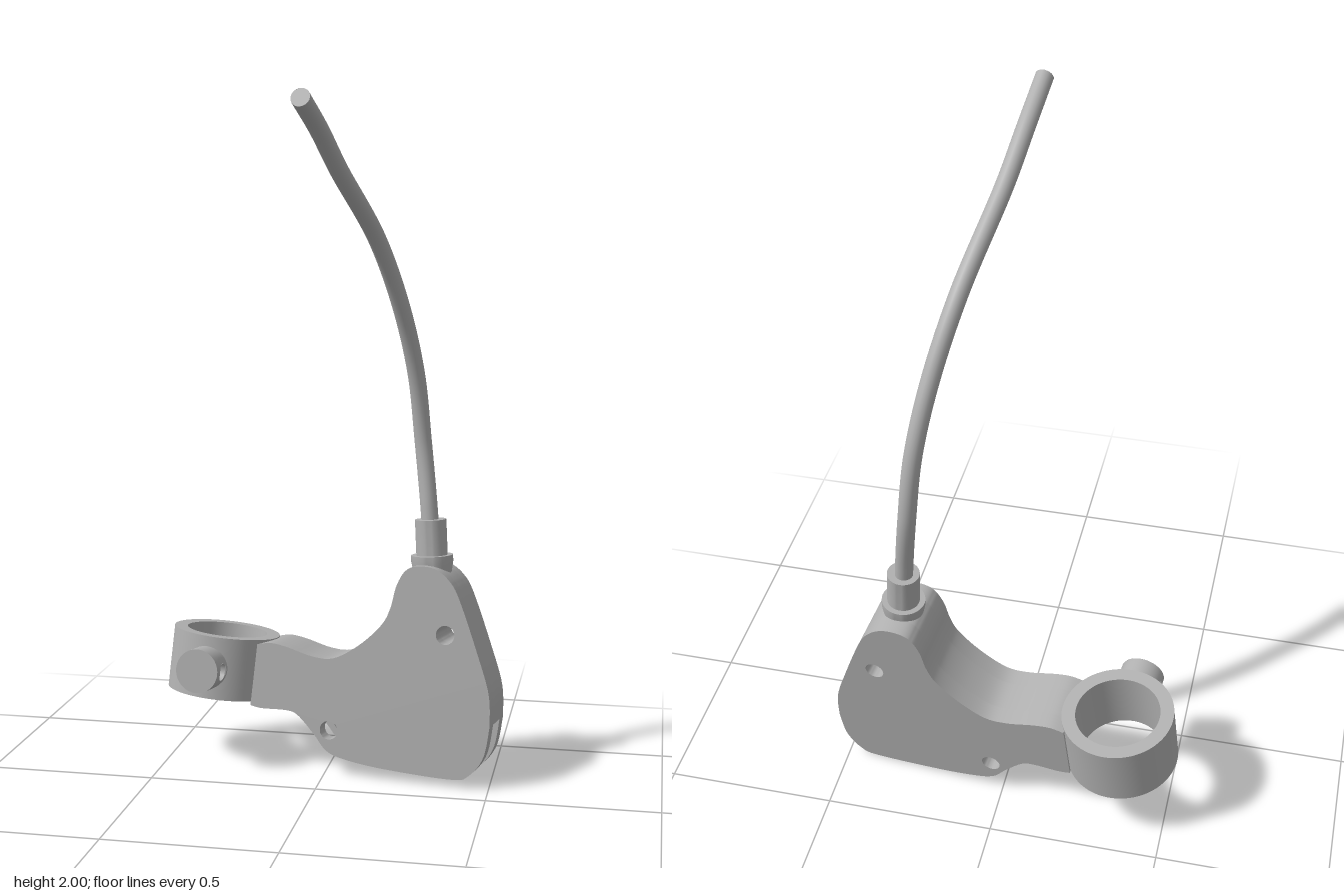
import * as THREE from 'three';
import { toCreasedNormals } from 'three/addons/utils/BufferGeometryUtils.js';
import { ParametricGeometry } from 'three/addons/geometries/ParametricGeometry.js';

const metal = new THREE.MeshStandardMaterial({ color: 0xb0b0b0, side: THREE.DoubleSide });
metal.name = 'grey metal';

const V2 = ([x, y]) => new THREE.Vector2(x, y);

function add(parent, name, geometry, crease = 0.6) {
  const mesh = new THREE.Mesh(crease ? toCreasedNormals(geometry, crease) : geometry, metal);
  mesh.name = name;
  parent.add(mesh);
  return mesh;
}

// Upper edge of the housing, from the neck over the hump and down the right side
const upperEdge = [
  [-0.215, 0.045], [-0.173, 0.056], [-0.119, 0.052], [-0.038, 0.037], [0.031, 0.043],
  [0.106, 0.097], [0.165, 0.166], [0.186, 0.221], [0.196, 0.287], [0.218, 0.336],
  [0.254, 0.355], [0.307, 0.354], [0.353, 0.326], [0.39, 0.275], [0.462, 0.126],
  [0.51, 0.012], [0.524, -0.083],
].map(V2);
// Lower edge, back to the neck
const lowerEdge = [
  [0.524, -0.083], [0.516, -0.175], [0.479, -0.236], [0.427, -0.256], [0.23, -0.262],
  [0.106, -0.256], [0.041, -0.24], [-0.006, -0.195], [-0.063, -0.147],
  [-0.102, -0.139], [-0.178, -0.146], [-0.215, -0.143],
].map(V2);
// Lower edge of the core, which leaves the lever slot open
const slotRoof = [[0.524, -0.083], [-0.04, -0.105], [-0.063, -0.147], [-0.102, -0.139], [-0.178, -0.146], [-0.215, -0.143]].map(V2);

const smooth = (pts) => new THREE.SplineCurve(pts).getPoints(pts.length * 5);

function slab(bottom, holes, z0, depth) {
  const shape = new THREE.Shape([...smooth(upperEdge), ...bottom.slice(1)]);
  for (const [x, y] of holes) {
    shape.holes.push(new THREE.Path().absarc(x, y, 0.028, 0, Math.PI * 2, true));
  }
  return new THREE.ExtrudeGeometry(shape, { depth, bevelEnabled: false, curveSegments: 16 }).translate(0, 0, z0);
}

function buildHousing() {
  const housing = new THREE.Group();
  housing.name = 'leverHousing';
  const upperHole = [0.36, 0.165], pivotHole = [0.04, -0.176];
  const half = 0.1, slot = 0.047;
  add(housing, 'frontPlate', slab(smooth(lowerEdge), [upperHole, pivotHole], slot, half - slot));
  add(housing, 'backPlate', slab(smooth(lowerEdge), [upperHole, pivotHole], -half, half - slot));
  add(housing, 'core', slab(slotRoof, [upperHole], -slot, slot * 2));

  // Handlebar clamp
  const [inner, outer, h] = [0.124, 0.164, 0.095];
  const ring = new THREE.LatheGeometry(
    [[inner, -h], [outer, -h], [outer, h], [inner, h], [inner, -h]].map(V2), 64);
  add(housing, 'clampRing', ring).position.set(-0.35, -0.038, 0);
  housing.add(buildScrew());
  return housing;
}

// Clamp screw: a round head with a hole drilled across it
function buildScrew() {
  const screw = new THREE.Group();
  screw.name = 'clampScrew';
  screw.position.set(-0.35, -0.04, 0.186);
  const r = 0.066, holeR = 0.027, halfH = 0.051;
  for (const turn of [0, Math.PI]) {
    // Half of the wall, spread from the hole to a rectangle and wrapped round
    const wall = new ParametricGeometry((u, v, target) => {
      const c = Math.cos(u * Math.PI * 2), s = Math.sin(u * Math.PI * 2);
      const m = Math.max(Math.abs(c), Math.abs(s));
      const x = THREE.MathUtils.lerp(holeR * c, (r * Math.PI / 2) * c / m, v);
      const z = THREE.MathUtils.lerp(holeR * s, halfH * s / m, v);
      target.set(r * Math.cos(x / r), r * Math.sin(x / r), z);
    }, 48, 8);
    add(screw, 'screwWall', wall, 0).rotation.z = turn;
  }
  add(screw, 'screwFace', new THREE.CircleGeometry(r, 48), 0).position.z = halfH;
  const bore = new THREE.CylinderGeometry(holeR, holeR, 0.124, 24, 1, true);
  add(screw, 'screwBore', bore, 0).rotation.z = Math.PI / 2;
  return screw;
}

// Stepped ferrule and the bent cable rising from it
function buildCable() {
  const cable = new THREE.Group();
  cable.name = 'cableAssembly';
  const profile = [[0, -0.06], [0.05, -0.06], [0.063, 0.01], [0.063, 0.03], [0.047, 0.03],
    [0.047, 0.137], [0.026, 0.137], [0, 0.137]].map(V2);
  const ferrule = add(cable, 'ferrule', new THREE.LatheGeometry(profile, 40));
  ferrule.position.set(0.305, 0.63, -0.268);
  ferrule.quaternion.setFromUnitVectors(
    new THREE.Vector3(0, 1, 0), new THREE.Vector3(-0.06, 1, -0.08).normalize());

  const path = new THREE.CatmullRomCurve3([
    [0.3, 0.7, -0.273], [0.291, 0.8, -0.285], [0.268, 1.0, -0.308], [0.249, 1.2, -0.285],
    [0.214, 1.4, -0.215], [0.163, 1.6, -0.09], [0.095, 1.8, 0.16], [0.07, 1.9, 0.3], [0.053, 1.977, 0.461],
  ].map((p) => new THREE.Vector3(...p)));
  const radius = 0.026;
  add(cable, 'cable', new THREE.TubeGeometry(path, 80, radius, 20), 0);
  const end = add(cable, 'cableEnd', new THREE.CircleGeometry(radius, 20), 0);
  end.position.copy(path.getPoint(1));
  end.quaternion.setFromUnitVectors(new THREE.Vector3(0, 0, 1), path.getTangent(1));
  return cable;
}

export function createModel() {
  const model = new THREE.Group();
  model.name = 'leverAndCable';

  // The housing sits slightly tilted on all three axes
  const housing = buildHousing();
  const across = new THREE.Vector3(0.99, -0.08, 0.12).normalize();
  const out = across.clone().cross(new THREE.Vector3(0.09, 0.99, -0.11)).normalize();
  const up = out.clone().cross(across);
  housing.quaternion.setFromRotationMatrix(new THREE.Matrix4().makeBasis(across, up, out));
  housing.position.set(0, 0.3, -0.268);

  model.add(housing, buildCable());
  return model;
}
